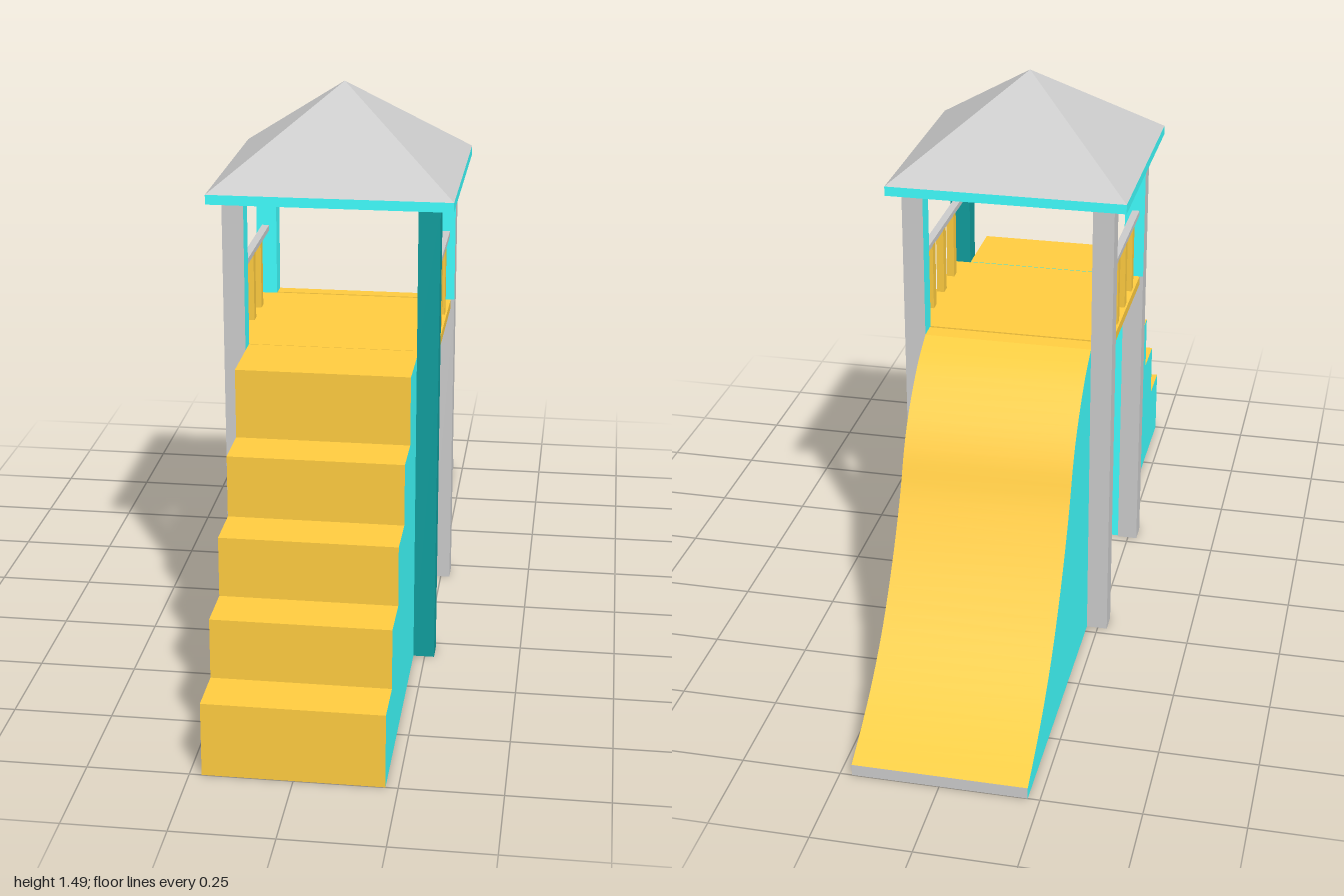
import * as THREE from 'three';
import { toCreasedNormals } from 'three/addons/utils/BufferGeometryUtils.js';

const paint = (color) => new THREE.MeshStandardMaterial({ color });
const grey = paint(0xcccccc);
const cyan = paint(0x40ffff);
const teal = paint(0x109e9e);
const yellow = paint(0xffcc40);

const HALF = 0.22;     // half width of stairs and slide
const DECK = 0.84;     // height of the platform
const MID = 0.0525;    // z of the tower's centre
const POST = 0.055;    // post thickness

function add(parent, name, geometry, material, x = 0, y = 0, z = 0) {
  const mesh = new THREE.Mesh(geometry, material);
  mesh.name = name;
  mesh.position.set(x, y, z);
  parent.add(mesh);
  return mesh;
}

// Box given by its centre in x and z and its bottom and top in y
function box(parent, name, material, w, d, bottom, top, x, z) {
  const geometry = new THREE.BoxGeometry(w, top - bottom, d);
  return add(parent, name, geometry, material, x, (bottom + top) / 2, z);
}

// Side profile of [-z, y] points, extruded across x
function profile(points) {
  const shape = new THREE.Shape(points.map(([u, y]) => new THREE.Vector2(u, y)));
  const geometry = new THREE.ExtrudeGeometry(shape, { depth: HALF * 2, bevelEnabled: false });
  geometry.translate(0, 0, -HALF).rotateY(Math.PI / 2);
  return toCreasedNormals(geometry, 0.4);
}

// Sorts triangles into material groups by the direction they face
function groupByNormal(geometry, choose) {
  const pos = geometry.attributes.position;
  const buckets = [];
  const tri = new THREE.Triangle();
  const n = new THREE.Vector3();
  for (let i = 0; i < pos.count; i += 3) {
    tri.setFromAttributeAndIndices(pos, i, i + 1, i + 2).getNormal(n);
    const k = choose(n);
    (buckets[k] ??= []).push(i, i + 1, i + 2);
  }
  geometry.clearGroups();
  let start = 0;
  buckets.forEach((b, k) => {
    geometry.addGroup(start, b.length, k);
    start += b.length;
  });
  geometry.setIndex(buckets.flat());
  return geometry;
}

function addStairs(parent) {
  const edges = [1, 0.87, 0.74, 0.61, 0.48, 0.28];
  const heights = [0.19, 0.345, 0.5, 0.66, DECK];
  const points = [[-edges[0], 0]];
  heights.forEach((h, i) => points.push([-edges[i], h], [-edges[i + 1], h]));
  points.push([-0.28, 0]);
  // treads and risers, sides and back, underside
  const geometry = groupByNormal(profile(points.reverse()), (n) =>
    n.y < -0.9 ? 2 : n.y > 0.9 || n.z > 0.9 ? 0 : 1);
  add(parent, 'stairs', geometry, [yellow, cyan, grey]);
}

function addSlide(parent) {
  const curve = new THREE.SplineCurve([
    [0.225, 0.838], [0.31, 0.79], [0.4, 0.705], [0.455, 0.625], [0.5, 0.525], [0.55, 0.435],
    [0.61, 0.345], [0.7, 0.235], [0.8, 0.147], [0.9, 0.082], [1, 0.03],
  ].map(([u, y]) => new THREE.Vector2(u, y)));
  const run = curve.getPoints(40).map((p) => [p.x, p.y]);
  const points = [[0.18, 0], [0.18, DECK], ...run, [1, 0]];
  // sliding surface and inner face, left side with lip and underside, right side
  const geometry = groupByNormal(profile(points.reverse()), (n) =>
    n.x < -0.9 ? 2 : n.x > 0.9 || n.y < -0.9 || n.z < -0.99 ? 1 : 0);
  add(parent, 'slide', geometry, [yellow, grey, cyan]);
}

function addPosts(parent) {
  for (const sx of [-1, 1]) {
    for (const sz of [-1, 1]) {
      const x = sx * 0.2475;
      const z = MID + sz * 0.25;
      let low = teal;
      let high = teal;
      if (sx < 0 || sz < 0) {
        // face order: +x, -x, +y, -y, +z, -z
        const sides = sx > 0 ? [grey, cyan] : [cyan, grey];
        low = [...sides, cyan, cyan, grey, grey];
        high = [...sides, cyan, cyan, ...(sz > 0 ? [grey, cyan] : [cyan, grey])];
      }
      box(parent, 'postLower', low, POST, POST, 0, DECK, x, z);
      box(parent, 'postUpper', high, POST, POST, DECK, 1.235, x, z);
    }
  }
}

function addRailings(parent) {
  for (const sx of [-1, 1]) {
    const x = sx * 0.25;
    box(parent, 'handrail', grey, 0.02, 0.45, 1.02, 1.035, x, MID);
    for (const z of [0.18, 0.0675, -0.045]) {
      box(parent, 'baluster', yellow, 0.02, 0.028, DECK - 0.005, 1.022, x, z);
    }
  }
}

function addRoof(parent) {
  box(parent, 'roofTrim', cyan, 0.62, 0.62, 1.23, 1.255, 0, MID);
  const pyramid = new THREE.ConeGeometry(0.31 * Math.SQRT2, 0.233, 4, 1)
    .rotateY(Math.PI / 4).toNonIndexed();
  pyramid.computeVertexNormals();
  add(parent, 'roof', pyramid, grey, 0, 1.255 + 0.1165, MID);
}

export function createModel() {
  const model = new THREE.Group();
  model.name = 'playgroundSlide';
  addStairs(model);
  addSlide(model);
  box(model, 'platform', yellow, 0.53, 0.45, 0.815, DECK, 0, MID);
  addPosts(model);
  addRailings(model);
  addRoof(model);
  return model;
}
